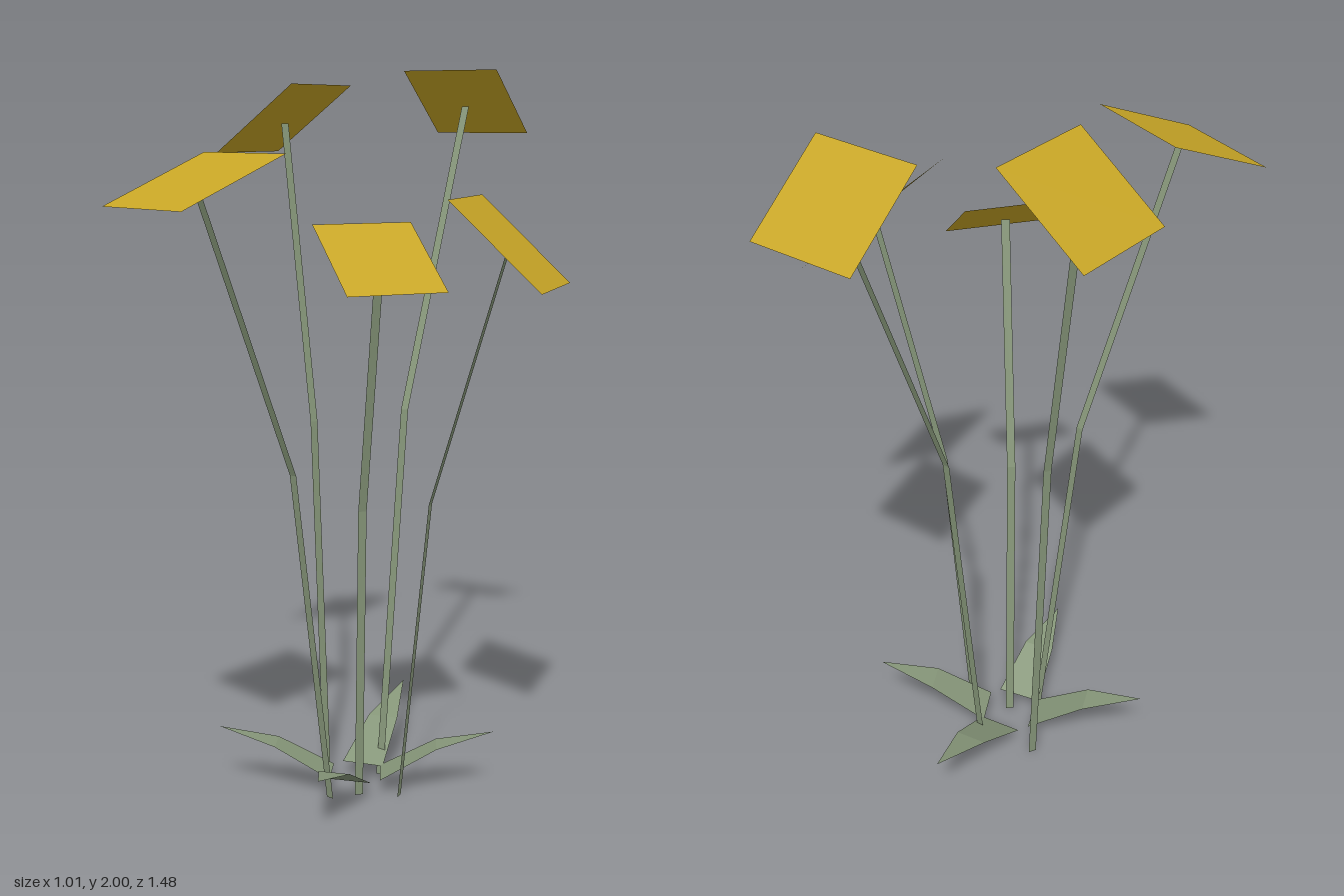
import * as THREE from 'three';

const V = (x, y, z) => new THREE.Vector3(x, y, z);

// Flat strip through [left, right] point pairs
function strip(rows, material, name) {
  const pos = [];
  for (let i = 0; i < rows.length - 1; i++) {
    const [a, b] = rows[i], [c, d] = rows[i + 1];
    for (const p of [a, b, d, a, d, c]) pos.push(p.x, p.y, p.z);
  }
  const g = new THREE.BufferGeometry();
  g.setAttribute('position', new THREE.Float32BufferAttribute(pos, 3));
  g.computeVertexNormals();
  const mesh = new THREE.Mesh(g, material);
  mesh.name = name;
  return mesh;
}

// Strip of given widths along a centre line, spread level and square to its heading
function ribbon(points, widths, material, name) {
  const lean = points[points.length - 1].clone().sub(points[0]);
  const side = V(lean.z, 0, -lean.x).normalize();
  const rows = points.map((p, i) => [
    p.clone().addScaledVector(side, -widths[i] / 2),
    p.clone().addScaledVector(side, widths[i] / 2),
  ]);
  return strip(rows, material, name);
}

export function createModel() {
  const yellow = new THREE.MeshStandardMaterial({ color: 0xc8a626, side: THREE.DoubleSide, flatShading: true });
  yellow.name = 'petal yellow';
  const green = new THREE.MeshStandardMaterial({ color: 0x869679, side: THREE.DoubleSide, flatShading: true });
  green.name = 'leaf green';

  const model = new THREE.Group();
  model.name = 'flowerCluster';

  // Flowers: stem base, stem bend, head centre, downhill vector across the head, head width
  const flowers = [
    ['back', V(-0.046, 0, -0.142), V(-0.022, 1.05, -0.275), V(0.043, 1.911, -0.61), V(0.025, -0.177, -0.23), 0.291],
    ['backRight', V(-0.195, 0, -0.105), V(-0.241, 1.025, -0.132), V(-0.362, 1.863, -0.218), V(-0.245, -0.185, -0.037), 0.311],
    ['frontRight', V(-0.112, 0, 0.072), V(-0.156, 0.94, 0.206), V(-0.268, 1.717, 0.525), V(-0.141, -0.127, 0.271), 0.333],
    ['frontLeft', V(-0.045, 0, 0.022), V(-0.008, 0.83, 0.085), V(0.097, 1.519, 0.227), V(0.158, -0.163, 0.155), 0.275],
    ['left', V(0.063, 0, -0.01), V(0.153, 0.845, -0.005), V(0.371, 1.551, 0.007), V(0.242, -0.228, -0.013), 0.336],
  ];
  for (const [place, base, bend, head, down, width] of flowers) {
    const flower = new THREE.Group();
    flower.name = place + 'Flower';
    const top = head.clone().lerp(bend, 0.015);
    flower.add(ribbon([base, bend, top], [0.023, 0.023, 0.023], green, 'stem'));
    const ends = [-0.5, 0.5].map((t) => head.clone().addScaledVector(down, t));
    flower.add(ribbon(ends, [width, width], yellow, 'flowerHead'));
    model.add(flower);
  }

  // Leaves: root, bend and pointed tip
  const leaves = [
    ['back', V(-0.079, 0.045, -0.093), V(-0.083, 0.13, -0.265), V(-0.088, 0.183, -0.45)],
    ['right', V(-0.139, 0.045, -0.006), V(-0.287, 0.13, 0.042), V(-0.443, 0.17, 0.085)],
    ['left', V(-0.008, 0.045, -0.047), V(0.14, 0.13, -0.102), V(0.29, 0.168, -0.158)],
    ['front', V(-0.064, 0.045, 0.042), V(-0.05, 0.125, 0.188), V(-0.033, 0.158, 0.338)],
  ];
  for (const [place, root, bend, tip] of leaves) {
    model.add(ribbon([root, bend, tip], [0.121, 0.088, 0.001], green, place + 'Leaf'));
  }
  return model;
}
